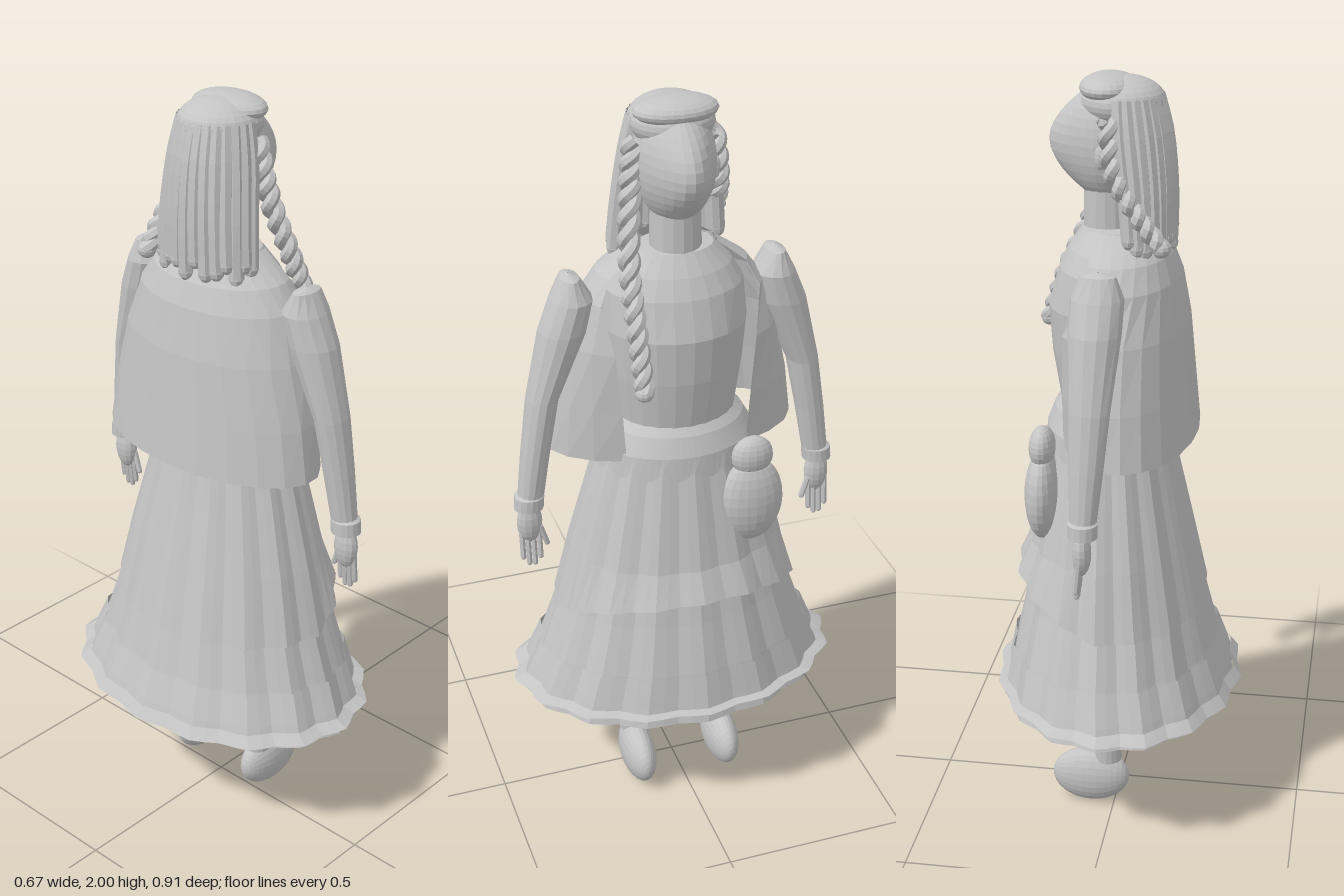
import * as THREE from 'three';

const cloth = new THREE.MeshStandardMaterial({ color: 0xc4c4c4, flatShading: true, side: THREE.DoubleSide });
cloth.name = 'plain grey';

function add(parent, name, geometry) {
  const mesh = new THREE.Mesh(geometry, cloth);
  mesh.name = name;
  parent.add(mesh);
  return mesh;
}

// Lofts elliptical rings, listed bottom up: { y, cx, cz, rx, rz, from }
// "from" opens the front by that angle; hem(t) raises the lowest ring; waves pleat the wall.
function loft(rings, { segs = 24, waves = 0, amp = 0, hem = null } = {}) {
  const pos = [], index = [];
  rings.forEach(({ y, cx = 0, cz = 0, rx, rz, from = 0 }, j) => {
    for (let i = 0; i <= segs; i++) {
      const t = from + (i / segs) * (Math.PI * 2 - from * 2);
      const k = 1 + amp * Math.cos(waves * t);
      pos.push(cx + rx * k * Math.cos(t), y + (hem && j === 0 ? hem(t) : 0), cz + rz * k * Math.sin(t));
    }
  });
  const w = segs + 1;
  for (let j = 0; j < rings.length - 1; j++) {
    for (let i = 0; i < segs; i++) {
      const a = j * w + i, b = a + w;
      index.push(a, b, a + 1, a + 1, b, b + 1);
    }
  }
  const g = new THREE.BufferGeometry();
  g.setAttribute('position', new THREE.Float32BufferAttribute(pos, 3));
  g.setIndex(index);
  g.computeVertexNormals();
  return g;
}

const ring = (y, cx, rx, rz, from = 0, cz = 0) => ({ y, cx, cz, rx, rz, from });

function ellipsoid(x, y, z, rx, ry, rz, w = 20, h = 14) {
  return new THREE.SphereGeometry(1, w, h).scale(rx, ry, rz).translate(x, y, z);
}

const curve = pts => new THREE.CatmullRomCurve3(pts.map(p => new THREE.Vector3(...p)));

// Two strands twisted around a path, with a round tip
function braid(parent, name, pts, turns) {
  const group = new THREE.Group();
  group.name = name;
  const path = curve(pts);
  for (const phase of [0, Math.PI]) {
    const strand = [];
    for (let i = 0; i <= turns * 8; i++) {
      const u = i / (turns * 8), p = path.getPoint(u);
      const a = phase + u * turns * Math.PI * 2, r = 0.015 * (1 - 0.3 * u);
      strand.push([p.x + r * Math.cos(a), p.y, p.z + r * Math.sin(a)]);
    }
    add(group, 'braidStrand', new THREE.TubeGeometry(curve(strand), turns * 14, 0.0165, 7));
  }
  const end = path.getPoint(1);
  add(group, 'braidTip', ellipsoid(end.x, end.y, end.z, 0.024, 0.022, 0.024, 10, 8));
  parent.add(group);
}

function buildSkirt(model) {
  const pleats = { segs: 64, waves: 16, amp: 0.022 };
  add(model, 'underskirt', loft([
    ring(0.345, 0, 0.3, 0.41), ring(0.48, 0.01, 0.268, 0.362),
    ring(0.62, 0.012, 0.235, 0.315), ring(0.9, 0.02, 0.175, 0.235)], pleats));
  add(model, 'flounce', loft([
    ring(0.345, 0, 0.312, 0.426), ring(0.4, 0.003, 0.298, 0.405), ring(0.48, 0.01, 0.276, 0.372)], pleats));
  add(model, 'hemFrill', loft([
    ring(0.355, 0, 0.327, 0.445), ring(0.385, 0, 0.305, 0.413)],
  { ...pleats, hem: t => 0.013 + 0.013 * Math.cos(t) }));
  add(model, 'overskirt', loft([
    ring(0.6, 0.018, 0.253, 0.33), ring(0.78, 0.02, 0.215, 0.287),
    ring(0.95, 0.023, 0.18, 0.24), ring(1.1, 0.025, 0.15, 0.198)],
  { ...pleats, hem: t => 0.1 * Math.max(0, Math.cos(t)) }));
}

function buildTorso(model) {
  add(model, 'peplum', loft([
    ring(1.035, 0.025, 0.17, 0.216), ring(1.1, 0.025, 0.165, 0.208),
    ring(1.15, 0.022, 0.148, 0.18), ring(1.175, 0.02, 0.13, 0.155)],
  { segs: 80, hem: t => 0.025 * (1 - Math.abs(Math.sin(t * 8))) }));
  add(model, 'bodice', loft([
    ring(1.16, 0.02, 0.133, 0.157), ring(1.3, 0.02, 0.155, 0.175), ring(1.42, 0.02, 0.163, 0.185),
    ring(1.52, 0.015, 0.14, 0.178), ring(1.57, 0.015, 0.115, 0.148), ring(1.62, 0.02, 0.075, 0.1),
    ring(1.625, 0.025, 0.04, 0.04)]));
  add(model, 'neck', new THREE.CylinderGeometry(0.062, 0.066, 0.18, 16).translate(0.03, 1.67, 0));
  // Short jacket, open at the front
  add(model, 'jacket', loft([
    ring(1.08, -0.03, 0.175, 0.335, 0.5), ring(1.22, -0.02, 0.172, 0.315, 0.57),
    ring(1.38, -0.008, 0.17, 0.28, 0.72), ring(1.5, 0, 0.157, 0.238, 1.05),
    ring(1.56, 0, 0.135, 0.195, 1.15), ring(1.62, 0.01, 0.105, 0.11, 1.2)], { segs: 18 }));
}

function buildArm(model, side) {
  const arm = new THREE.Group();
  arm.name = side > 0 ? 'armPositiveZ' : 'armNegativeZ';
  const s = (y, cx, cz, rx, rz) => ring(y, cx, rx, rz, 0, cz * side);
  add(arm, 'sleeve', loft([
    s(0.96, 0.035, 0.395, 0.033, 0.034), s(1.1, 0.03, 0.375, 0.043, 0.038), s(1.25, 0.025, 0.35, 0.052, 0.042),
    s(1.43, 0.02, 0.29, 0.066, 0.062), s(1.51, 0.017, 0.265, 0.066, 0.055),
    s(1.565, 0.015, 0.268, 0.045, 0.024), s(1.575, 0.015, 0.27, 0.002, 0.002)], { segs: 14 }));
  add(arm, 'cuff', loft([
    s(0.935, 0.035, 0.402, 0.025, 0.026), s(0.94, 0.035, 0.4, 0.038, 0.039),
    s(0.975, 0.035, 0.397, 0.038, 0.039), s(0.98, 0.035, 0.396, 0.03, 0.03)], { segs: 16 }));
  add(arm, 'palm', ellipsoid(0.037, 0.895, 0.4 * side, 0.024, 0.06, 0.034, 12, 10));
  for (let i = 0; i < 4; i++) {
    const z = (0.377 + i * 0.0155) * side, drop = [0.785, 0.768, 0.77, 0.79][i];
    add(arm, 'finger', new THREE.CapsuleGeometry(0.0075, 0.885 - drop - 0.015, 3, 6)
      .rotateZ(0.1).translate(0.045, (0.885 + drop) / 2, z));
  }
  add(arm, 'thumb', new THREE.CapsuleGeometry(0.008, 0.055, 3, 6)
    .rotateX(0.3 * side).translate(0.045, 0.855, 0.366 * side));
  model.add(arm);
}

function buildLeg(model, side) {
  const leg = new THREE.Group();
  leg.name = side > 0 ? 'legPositiveZ' : 'legNegativeZ';
  add(leg, 'shin', new THREE.CylinderGeometry(0.065, 0.038, 0.5, 16).translate(0.018, 0.385, 0.122 * side));
  add(leg, 'shoe', new THREE.SphereGeometry(1, 24, 16).rotateZ(Math.PI / 2)
    .scale(0.106, 0.08, 0.046).translate(0.065, 0.081, 0.124 * side));
  model.add(leg);
}

function buildHead(model) {
  // Face drawn out to a nose along +x
  const face = new THREE.SphereGeometry(1, 28, 20);
  const p = face.attributes.position;
  for (let i = 0; i < p.count; i++) {
    const x = p.getX(i);
    p.setX(i, x + 0.5 * Math.max(0, x) ** 4);
  }
  face.scale(0.1, 0.15, 0.1).translate(0.03, 1.832, 0);
  face.computeVertexNormals();
  add(model, 'head', face);

  add(model, 'hairCap', ellipsoid(-0.005, 1.93, 0, 0.107, 0.064, 0.107, 28, 16));
  add(model, 'hairBack', ellipsoid(-0.035, 1.86, 0, 0.075, 0.12, 0.1));
  add(model, 'fringeRoll', ellipsoid(0.03, 1.965, 0, 0.072, 0.034, 0.107, 24, 12));
  for (const side of [-1, 1]) add(model, 'ear', ellipsoid(0.035, 1.81, 0.1 * side, 0.016, 0.03, 0.012, 10, 8));

  // Hanging locks round the back and sides
  const locks = 15;
  for (let i = 0; i < locks; i++) {
    const t = Math.PI / 2 + (i / (locks - 1)) * Math.PI;
    const c = Math.cos(t), s = Math.sin(t);
    const low = 1.6 + 0.02 * Math.sin(i * 2.4);
    const end = [-0.04 + 0.085 * c, low, 0.135 * s];
    add(model, 'lock', new THREE.TubeGeometry(curve([
      [-0.005 + 0.085 * c, 1.945, 0.088 * s], [-0.012 + 0.1 * c, 1.86, 0.107 * s],
      [-0.03 + 0.095 * c, 1.72, 0.125 * s], end]), 8, 0.02, 7));
    add(model, 'lockTip', ellipsoid(...end, 0.02, 0.024, 0.02, 8, 6));
  }
  // One braid falls forward, the other behind the shoulder
  braid(model, 'frontBraid', [[0.015, 1.9, 0.1], [0.04, 1.76, 0.12], [0.1, 1.6, 0.14],
    [0.165, 1.46, 0.142], [0.212, 1.32, 0.14]], 7);
  braid(model, 'backBraid', [[0.015, 1.9, -0.1], [0, 1.78, -0.12], [-0.06, 1.68, -0.138], [-0.12, 1.6, -0.14]], 4);
}

export function createModel() {
  const model = new THREE.Group();
  model.name = 'doll';
  buildSkirt(model);
  buildTorso(model);
  buildHead(model);
  for (const side of [-1, 1]) {
    buildArm(model, side);
    buildLeg(model, side);
  }
  // Pouch at the waist
  add(model, 'pouch', ellipsoid(0.18, 0.94, -0.158, 0.046, 0.122, 0.086));
  add(model, 'pouchTop', ellipsoid(0.18, 1.07, -0.158, 0.034, 0.056, 0.056, 16, 12));
  return model;
}
